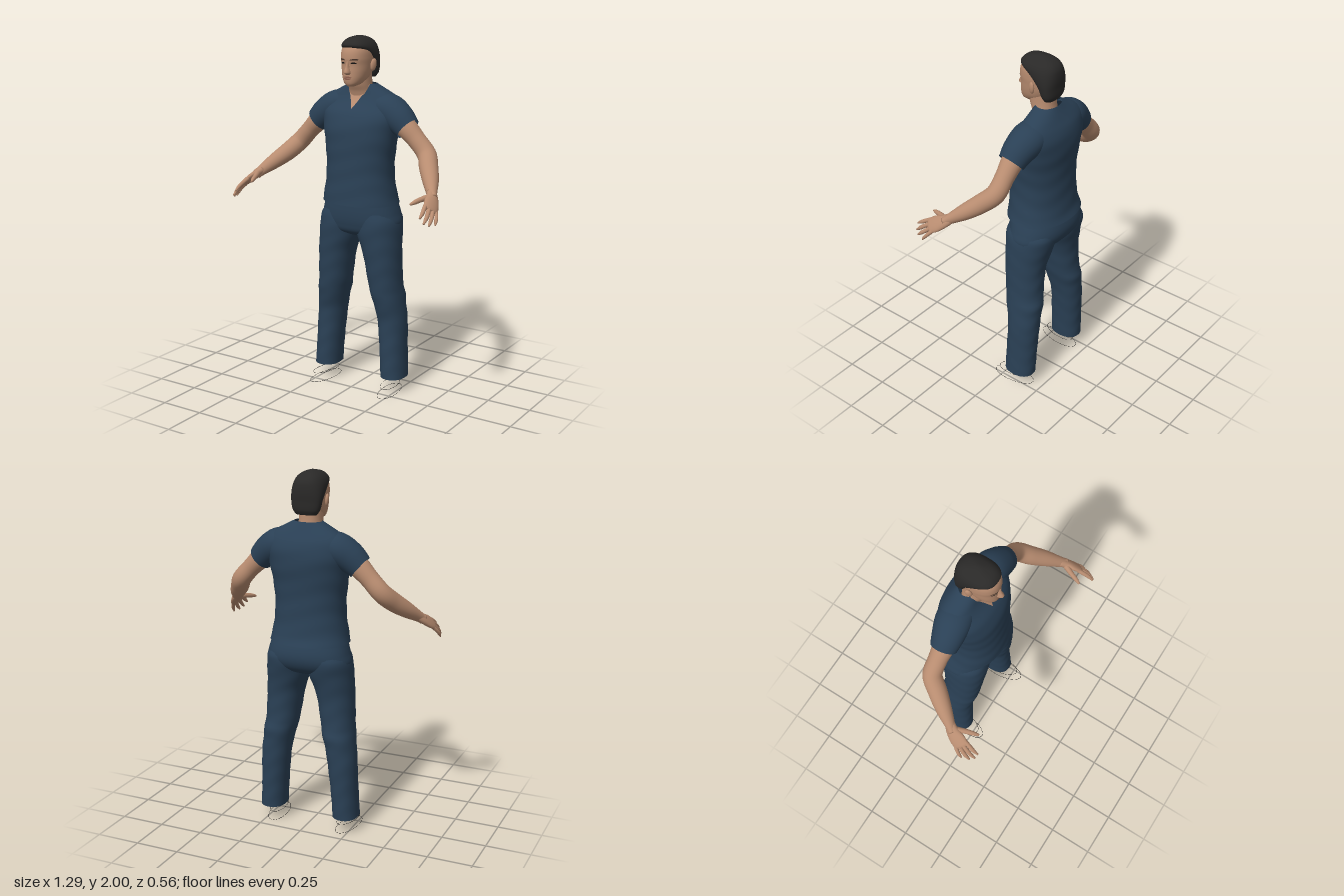
import * as THREE from 'three';

const V = (x, y, z) => new THREE.Vector3(x, y, z);
const mat = (name, color, side = THREE.FrontSide) => {
  const m = new THREE.MeshStandardMaterial({ color, side });
  m.name = name;
  return m;
};

// Smooth interpolation through rows keyed on their first column
function sample(rows, k) {
  let i = 0;
  while (i < rows.length - 2 && k > rows[i + 1][0]) i++;
  const a = rows[i], b = rows[i + 1], h = b[0] - a[0], t = (k - a[0]) / h;
  const p = rows[i - 1] || a, q = rows[i + 2] || b;
  return a.map((_, c) => {
    const ma = (b[c] - p[c]) / (b[0] - p[0]) * h, mb = (q[c] - a[c]) / (q[0] - a[0]) * h;
    const t2 = t * t, t3 = t2 * t;
    return (2 * t3 - 3 * t2 + 1) * a[c] + (t3 - 2 * t2 + t) * ma + (3 * t2 - 2 * t3) * b[c] + (t3 - t2) * mb;
  });
}

// Skin a list of rings, with optional end caps
function skin(rings, capA, capB) {
  const n = rings[0].length, pos = [], idx = [];
  rings.forEach(r => r.forEach(p => pos.push(p.x, p.y, p.z)));
  for (let i = 0; i < rings.length - 1; i++) for (let j = 0; j < n; j++) {
    const a = i * n + j, b = i * n + (j + 1) % n;
    idx.push(a, b, b + n, a, b + n, a + n);
  }
  const cap = (i, flip) => {
    const c = rings[i].reduce((s, p) => s.add(p), V(0, 0, 0)).divideScalar(n), k = pos.length / 3;
    pos.push(c.x, c.y, c.z);
    for (let j = 0; j < n; j++) {
      const a = i * n + j, b = i * n + (j + 1) % n;
      idx.push(k, flip ? b : a, flip ? a : b);
    }
  };
  if (capA) cap(0, true);
  if (capB) cap(rings.length - 1, false);
  const g = new THREE.BufferGeometry();
  g.setAttribute('position', new THREE.Float32BufferAttribute(pos, 3));
  g.setIndex(idx);
  g.computeVertexNormals();
  return g;
}

// Horizontal sections: rows are [y, centre x, half width, front z, back z]
function stack(rows, { e = 2.2, capA = false, capB = false, steps = 32, n = 40, ripple = 0 } = {}) {
  const rings = [], y0 = rows[0][0], y1 = rows[rows.length - 1][0];
  const pw = v => Math.sign(v) * Math.abs(v) ** (2 / e);
  for (let i = 0; i <= steps; i++) {
    const [y, cx, hx, zf, zb] = sample(rows, y0 + (y1 - y0) * i / steps);
    rings.push(Array.from({ length: n }, (_, j) => {
      const a = j / n * Math.PI * 2;
      const s = 1 + ripple * Math.sin(y * 55 + 2 * Math.sin(a * 2));
      return V(cx + pw(Math.cos(a)) * hx * s, y, (zf + zb) / 2 - pw(Math.sin(a)) * (zf - zb) / 2 * s);
    }));
  }
  return skin(rings, capA, capB);
}

// Limb along a path: points are [x, y, z, radius along hint, other radius]
function limb(pts, hint, { capA = false, capB = true, steps = 24, n = 20 } = {}) {
  const curve = new THREE.CatmullRomCurve3(pts.map(p => V(p[0], p[1], p[2])));
  const radii = pts.map((p, i) => [i / (pts.length - 1), p[3], p[4] ?? p[3]]);
  const rings = [];
  for (let i = 0; i <= steps; i++) {
    const k = i / steps, c = curve.getPoint(k), t = curve.getTangent(k), [, ra, rb] = sample(radii, k);
    const u = hint.clone().addScaledVector(t, -hint.dot(t)).normalize(), v = t.clone().cross(u);
    rings.push(Array.from({ length: n }, (_, j) => {
      const a = j / n * Math.PI * 2;
      return c.clone().addScaledVector(u, Math.cos(a) * ra).addScaledVector(v, Math.sin(a) * rb);
    }));
  }
  return skin(rings, capA, capB);
}

// Thin plate on the front of a stack: spans are [y, left x, right x], y rising
function patch(rows, spans, lift, e = 2.2, n = 10) {
  const g = new THREE.PlaneGeometry(1, 1, n, 16), p = g.attributes.position;
  const y0 = spans[0][0], y1 = spans[spans.length - 1][0];
  for (let i = 0; i < p.count; i++) {
    const [y, xl, xr] = sample(spans, y0 + (p.getY(i) + 0.5) * (y1 - y0));
    const x = xl + (p.getX(i) + 0.5) * (xr - xl), [, cx, hx, zf, zb] = sample(rows, y);
    const f = Math.max(0, 1 - Math.abs((x - cx) / hx) ** e) ** (1 / e);
    p.setXYZ(i, x, y, (zf + zb) / 2 + f * (zf - zb) / 2 + lift);
  }
  g.computeVertexNormals();
  return g;
}

export function createModel() {
  const model = new THREE.Group();
  const skinMat = mat('skin', 0xb88c70), cloth = mat('navy cloth', 0x2a4055, THREE.DoubleSide);
  const hairMat = mat('dark hair', 0x2a2928), lipMat = mat('lips', 0x8f6050);
  const browMat = mat('brow brown', 0x4a372d), black = mat('black', 0x151515);
  const add = (name, geo, m, parent = model) => {
    const mesh = new THREE.Mesh(geo, m);
    mesh.name = name;
    parent.add(mesh);
    return mesh;
  };

  // Shirt body
  const torso = [[1.085, 0, .222, .068, -.28], [1.13, 0, .212, .065, -.265], [1.2, 0, .2, .06, -.255],
    [1.3, 0, .195, .055, -.25], [1.4, 0, .205, .052, -.252], [1.5, 0, .222, .045, -.262],
    [1.58, 0, .235, .018, -.262], [1.64, 0, .225, -.028, -.245], [1.68, 0, .19, -.052, -.222],
    [1.715, 0, .125, -.064, -.2], [1.74, 0, .076, -.072, -.185]];
  add('shirt', stack(torso, { steps: 60, n: 56, ripple: .006 }), cloth);
  add('neckOpening', patch(torso, [[1.612, -.001, .001], [1.66, -.027, .027], [1.7, -.048, .048], [1.738, -.066, .066]], .004), skinMat);

  // Trousers seat
  add('trouserSeat', stack([[.9, 0, .09, -.03, -.16], [.925, 0, .2, .015, -.22], [.97, 0, .238, .034, -.26],
    [1.03, 0, .228, .042, -.272], [1.12, 0, .2, .04, -.25]], { e: 2.3, capA: true }), cloth);

  // Neck and head
  add('neck', stack([[1.62, 0, .08, -.06, -.17], [1.7, 0, .066, -.04, -.168], [1.74, 0, .062, -.022, -.163],
    [1.8, 0, .06, -.01, -.16]]), skinMat);
  const head = [[1.735, 0, .022, .022, -.03], [1.748, 0, .044, .031, -.08], [1.775, 0, .062, .036, -.13],
    [1.81, 0, .073, .036, -.16], [1.85, 0, .079, .035, -.178], [1.885, 0, .082, .039, -.183],
    [1.93, 0, .079, .03, -.178], [1.965, 0, .062, .002, -.155], [1.985, 0, .035, -.03, -.12]];
  add('head', stack(head, { capA: true, capB: true, steps: 48 }), skinMat);
  add('hair', stack([[1.775, 0, .058, -.125, -.178], [1.8, 0, .075, -.115, -.19], [1.85, 0, .085, -.095, -.194],
    [1.885, 0, .088, -.06, -.197], [1.92, 0, .087, -.01, -.196], [1.948, 0, .081, .028, -.19],
    [1.972, 0, .066, .018, -.172], [1.99, 0, .042, -.012, -.14], [2, 0, .012, -.06, -.1]],
    { e: 2.5, capA: true, capB: true, steps: 48 }), hairMat);
  add('nose', stack([[1.798, 0, .012, .044, 0], [1.809, 0, .018, .062, 0], [1.84, 0, .011, .052, 0],
    [1.87, 0, .008, .042, 0]], { capA: true, capB: true, n: 16 }), skinMat);
  add('upperLip', patch(head, [[1.782, -.026, .026], [1.786, -.02, .02], [1.79, -.008, .008]], .003), lipMat);
  add('lowerLip', patch(head, [[1.771, -.01, .01], [1.776, -.018, .018], [1.78, -.024, .024]], .003), lipMat);
  for (const s of [1, -1]) {
    const span = (y, a, b) => s > 0 ? [y, a, b] : [y, -b, -a];
    add('eye', patch(head, [span(1.856, .027, .04), span(1.86, .018, .048), span(1.864, .025, .042)], .002), black);
    add('eyebrow', patch(head, [span(1.875, .014, .05), span(1.879, .016, .056), span(1.883, .03, .052)], .002), browMat);
    const ear = add('ear', new THREE.SphereGeometry(1, 16, 12), skinMat);
    ear.scale.set(.011, .034, .019);
    ear.position.set(s * .088, 1.847, -.085);
    ear.rotation.set(-.15, s * -.35, s * -.12);
  }

  for (const s of [1, -1]) {
    const side = new THREE.Group();
    side.name = s > 0 ? 'leftLimbs' : 'rightLimbs';
    model.add(side);
    const flip = pts => pts.map(([x, ...r]) => [x * s, ...r]);

    // Sleeve and bare arm
    add('sleeve', limb(flip([[.1, 1.625, -.135, .075, .09], [.17, 1.6, -.128, .089, .095],
      [.235, 1.56, -.118, .084, .085], [.29, 1.512, -.112, .07, .071]]), V(s * .6, .8, 0), { capB: false, n: 32 }), cloth, side);
    add('arm', limb(flip([[.22, 1.565, -.115, .06], [.285, 1.513, -.114, .058], [.345, 1.455, -.115, .051],
      [.41, 1.385, -.108, .052], [.455, 1.327, -.05, .051], [.505, 1.274, .018, .043],
      [.553, 1.222, .09, .029, .026], [.568, 1.206, .11, .028, .022]]), V(s, 1, .3), { steps: 40, n: 24 }), skinMat, side);

    // Hand
    const across = V(s * .04, -.04, -.045);
    add('palm', limb(flip([[.545, 1.23, .08, .028, .024], [.567, 1.207, .112, .036, .022],
      [.583, 1.187, .148, .045, .019], [.597, 1.168, .182, .042, .014], [.602, 1.162, .192, .03, .008]]), across, { capA: true }), skinMat, side);
    const fingers = {
      thumb: [[.555, 1.215, .115, .018], [.532, 1.208, .165, .014], [.518, 1.2, .205, .012], [.507, 1.192, .235, .006]],
      indexFinger: [[.572, 1.193, .185, .012], [.58, 1.175, .22, .0115], [.586, 1.157, .25, .0105], [.587, 1.138, .278, .005]],
      middleFinger: [[.588, 1.178, .18, .012], [.6, 1.155, .215, .0115], [.606, 1.132, .245, .0105], [.606, 1.11, .272, .005]],
      ringFinger: [[.602, 1.163, .17, .012], [.615, 1.138, .2, .011], [.622, 1.117, .226, .01], [.623, 1.097, .248, .005]],
      littleFinger: [[.612, 1.153, .155, .011], [.627, 1.13, .176, .01], [.634, 1.111, .192, .009], [.637, 1.092, .206, .004]],
    };
    for (const name in fingers) add(name, limb(flip(fingers[name]), across, { steps: 12, n: 12 }), skinMat, side);

    // Trouser leg, open at the cuff
    const leg = [[.085, .222, .071, -.02, -.203], [.25, .212, .073, -.025, -.208], [.42, .2, .08, -.03, -.215],
      [.5, .188, .083, -.015, -.216], [.56, .178, .088, -.002, -.222], [.6, .17, .09, .002, -.212],
      [.68, .161, .094, .01, -.208], [.8, .147, .103, .02, -.212], [.92, .123, .121, .03, -.238],
      [1, .115, .12, .03, -.255], [1.04, .112, .1, .02, -.24]].map(r => [r[0], s * r[1], ...r.slice(2)]);
    add('trouserLeg', stack(leg, { steps: 60, ripple: .008 }), cloth, side);

    // Ankle and sock inside the cuff
    add('ankle', stack([[.095, s * .212, .042, -.065, -.175], [.3, s * .205, .05, -.06, -.18]], { capA: true, capB: true, steps: 4 }), skinMat, side);
    const sock = add('sock', new THREE.BoxGeometry(.045, .016, .12), black, side);
    sock.position.set(s * .2, .088, -.115);
    sock.rotation.y = s * .25;

    // Hair-thin shoe outlines
    for (const [y, w, zb, zf] of [[.001, .052, -.19, .062], [.045, .046, -.17, .03]]) {
      const pts = Array.from({ length: 20 }, (_, i) => {
        const a = i / 20 * Math.PI * 2, z = Math.sin(a);
        return V(s * (.218 + w * Math.cos(a) + .012 * z), y, (zf + zb) / 2 + z * (zf - zb) / 2);
      });
      add('shoeOutline', new THREE.TubeGeometry(new THREE.CatmullRomCurve3(pts, true), 48, .001, 4, true), black, side);
    }
  }
  return model;
}
